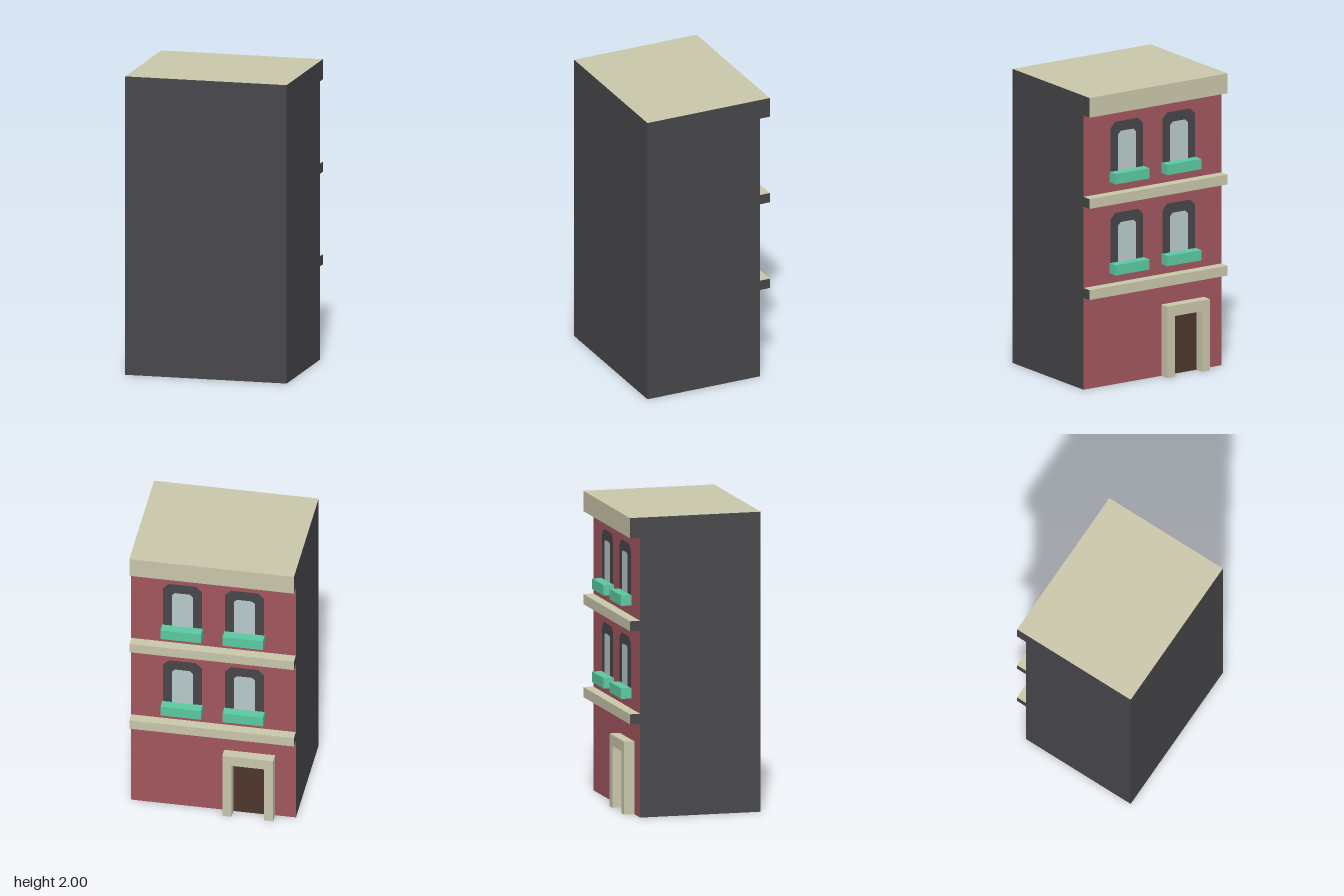
import * as THREE from 'three';

const mat = (name, color) => {
  const m = new THREE.MeshStandardMaterial({ color });
  m.name = name;
  return m;
};

const WIDTH = 1.1;      // full width of the building
const FACADE = -0.377;  // z of the brick facade
const FRONT = -0.447;   // z of everything that projects from it
const BACK = 0.447;

export function createModel() {
  const stone = mat('cream stone', 0xc9c6aa);
  const dark = mat('charcoal wall', 0x464549);
  const brick = mat('red brick', 0xa1565d);
  const teal = mat('teal sill', 0x5bc9a2);
  const glass = mat('pale glass', 0xb8c9c9);
  const wood = mat('brown door', 0x4d362d);
  const slate = mat('slate base', 0x5a6478);

  const model = new THREE.Group();
  model.name = 'townhouse';

  // Box given by its limits on each axis
  const box = (parent, name, material, [x0, x1], [y0, y1], [z0, z1]) => {
    const mesh = new THREE.Mesh(new THREE.BoxGeometry(x1 - x0, y1 - y0, z1 - z0), material);
    mesh.position.set((x0 + x1) / 2, (y0 + y1) / 2, (z0 + z1) / 2);
    mesh.name = name;
    parent.add(mesh);
    return mesh;
  };

  // Flat panel with clipped upper corners, facing -z
  const panel = (parent, name, material, x, halfWidth, y0, y1, clip, z) => {
    const shape = new THREE.Shape([
      [-halfWidth, y0], [halfWidth, y0], [halfWidth, y1 - clip],
      [halfWidth - clip, y1], [clip - halfWidth, y1], [-halfWidth, y1 - clip],
    ].map(([px, py]) => new THREE.Vector2(px, py)));
    const mesh = new THREE.Mesh(new THREE.ShapeGeometry(shape), material);
    mesh.rotation.y = Math.PI;
    mesh.position.set(x, 0, z);
    mesh.name = name;
    parent.add(mesh);
  };

  // Main block: plain party walls, stone roof, brick facade
  const across = [-WIDTH / 2, WIDTH / 2];
  box(model, 'building', [dark, dark, stone, slate, dark, brick], across, [0, 2], [FACADE, BACK]);

  // Cornice and floor bands, with ends matching the party walls
  const trim = [dark, dark, stone, stone, stone, stone];
  box(model, 'cornice', trim, across, [1.865, 2], [FRONT, FACADE]);
  box(model, 'upperBand', trim, across, [1.245, 1.312], [FRONT, FACADE]);
  box(model, 'lowerBand', trim, across, [0.625, 0.692], [FRONT, FACADE]);

  // Two windows on each upper floor
  for (const floor of [0.76, 1.38]) {
    for (const x of [-0.207, 0.207]) {
      const win = new THREE.Group();
      win.name = 'window';
      panel(win, 'windowFrame', dark, x, 0.131, floor + 0.03, floor + 0.405, 0.04, FACADE - 0.003);
      panel(win, 'windowGlass', glass, x, 0.07, floor + 0.04, floor + 0.338, 0.02, FACADE - 0.006);
      box(win, 'windowSill', teal, [x - 0.135, x + 0.135], [floor, floor + 0.07], [FRONT, FACADE]);
      model.add(win);
    }
  }

  // Doorway: two posts, a lintel and the door
  const doorway = new THREE.Group();
  doorway.name = 'doorway';
  const doorX = -0.241, outer = 0.17, inner = 0.108, opening = 0.413;
  box(doorway, 'leftPost', stone, [doorX + inner, doorX + outer], [0, opening], [FRONT, FACADE]);
  box(doorway, 'rightPost', stone, [doorX - outer, doorX - inner], [0, opening], [FRONT, FACADE]);
  box(doorway, 'lintel', stone, [doorX - outer, doorX + outer], [opening, 0.486], [FRONT, FACADE]);
  panel(doorway, 'door', wood, doorX, inner, 0, opening, 0, FACADE - 0.003);
  model.add(doorway);

  return model;
}
